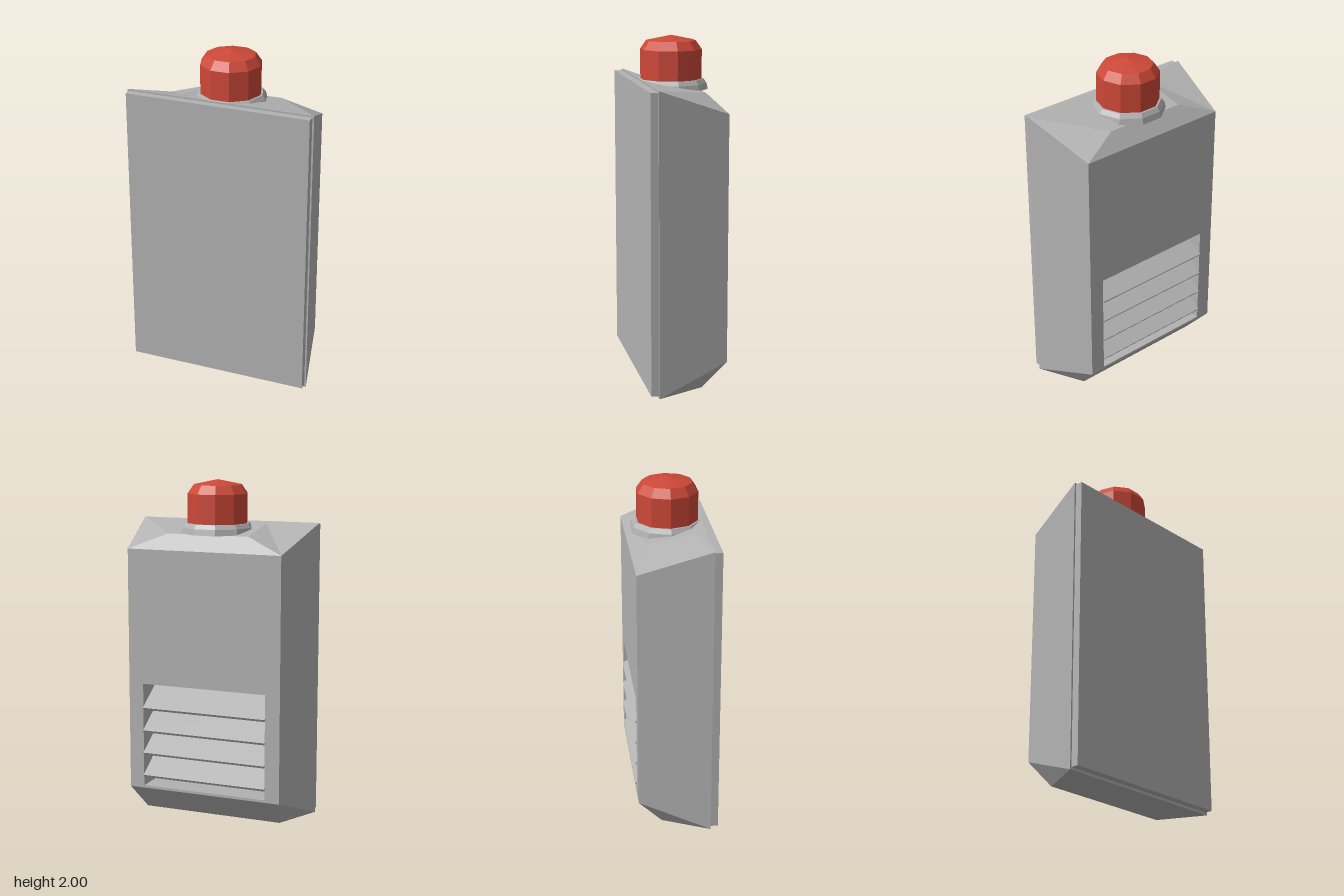
import * as THREE from 'three';

const grey = new THREE.MeshStandardMaterial({ color: 0xb2b2b2 });
grey.name = 'casing grey';
const red = new THREE.MeshStandardMaterial({ color: 0xcd4838 });
red.name = 'lamp red';

// Flat polygons, each turned away from (or towards, if inward) a centre point
function facets(polygons, centre, inward = false) {
  const out = [];
  const c = new THREE.Vector3(...centre);
  for (const poly of polygons) {
    const p = poly.map((v) => new THREE.Vector3(...v));
    const mid = p.reduce((s, v) => s.add(v), new THREE.Vector3()).divideScalar(p.length);
    const n = p[1].clone().sub(p[0]).cross(p[2].clone().sub(p[0]));
    if ((n.dot(mid.sub(c)) < 0) !== inward) p.reverse();
    for (let i = 1; i < p.length - 1; i++) {
      for (const v of [p[0], p[i], p[i + 1]]) out.push(v.x, v.y, v.z);
    }
  }
  const g = new THREE.BufferGeometry();
  g.setAttribute('position', new THREE.Float32BufferAttribute(out, 3));
  g.computeVertexNormals();
  return g;
}

// Ten-sided turned part with flat faces
function turned(profile) {
  const pts = profile.map(([r, y]) => new THREE.Vector2(r, y));
  const g = new THREE.LatheGeometry(pts, 10, Math.PI / 2).toNonIndexed();
  g.computeVertexNormals();
  return g;
}

export function createModel() {
  const model = new THREE.Group();
  const add = (name, geometry, material) => {
    const mesh = new THREE.Mesh(geometry, material);
    mesh.name = name;
    model.add(mesh);
    return mesh;
  };

  // Tapered casing: corners for the side s = +1 / -1
  const F0 = (s) => [s * 0.56, 0, 0.19];
  const F1 = (s) => [s * 0.56, 1.75, 0.19];
  const B1 = (s) => [s * 0.475, 1.6, -0.225];
  const B0 = (s) => [s * 0.475, 0.16, -0.225];
  const D = (s) => [s * 0.43, 0, -0.085];
  const PF = (s) => [s * 0.25, 1.742, 0.14];
  const PB = (s) => [s * 0.25, 1.69, -0.15];
  const vx = 0.385, v0 = 0.175, v1 = 0.8, vz = -0.225, deep = 0.02;
  const V0 = (s, z = vz) => [s * vx, v0, z];
  const V1 = (s, z = vz) => [s * vx, v1, z];
  const across = (a, b) => [a(1), a(-1), b(-1), b(1)];

  const shell = [
    across(F0, F1), across(F0, D), across(D, B0), // front, underside, rear chamfer
    across(F1, PF), across(PF, PB), across(PB, B1), // top
    across(B1, V1), across(V0, B0), // back above and below the vent
  ];
  const recess = [
    across((s) => V1(s), (s) => V1(s, deep)),
    across((s) => V0(s), (s) => V0(s, deep)),
    across((s) => V0(s, deep), (s) => V1(s, deep)),
  ];
  for (const s of [1, -1]) {
    shell.push([F0(s), F1(s), B1(s), B0(s)], [F0(s), B0(s), D(s)]);
    shell.push([F1(s), B1(s), PB(s), PF(s)]);
    shell.push([B1(s), V1(s), V0(s), B0(s)]);
    recess.push([V0(s), V1(s), V1(s, deep), V0(s, deep)]);
  }
  add('casing', facets(shell, [0, 0.9, 0]), grey);
  add('ventRecess', facets(recess, [0, 0.5, -0.1], true), grey);

  // Front panel
  add('frontPanel', new THREE.BoxGeometry(1.1, 1.725, 0.05), grey).position.set(0, 0.8775, 0.21);

  // Louvre slats, sloping down towards the back
  const tilt = 0.56, length = 0.27;
  for (let i = 0; i < 4; i++) {
    const slat = add('ventSlat', new THREE.BoxGeometry(vx * 2, 0.016, length), grey);
    slat.rotation.x = -tilt;
    slat.position.set(0, 0.235 + i * 0.138 + (length / 2) * Math.sin(tilt), -0.23 + (length / 2) * Math.cos(tilt));
  }

  // Warning lamp and its collar
  add('lampCollar', turned([[0.17, 1.69], [0.215, 1.69], [0.207, 1.725], [0.19, 1.75], [0.17, 1.75]]), grey);
  add('lamp', turned([[0, 1.7], [0.179, 1.7], [0.179, 1.92], [0.144, 1.97], [0, 2]]), red);

  return model;
}
